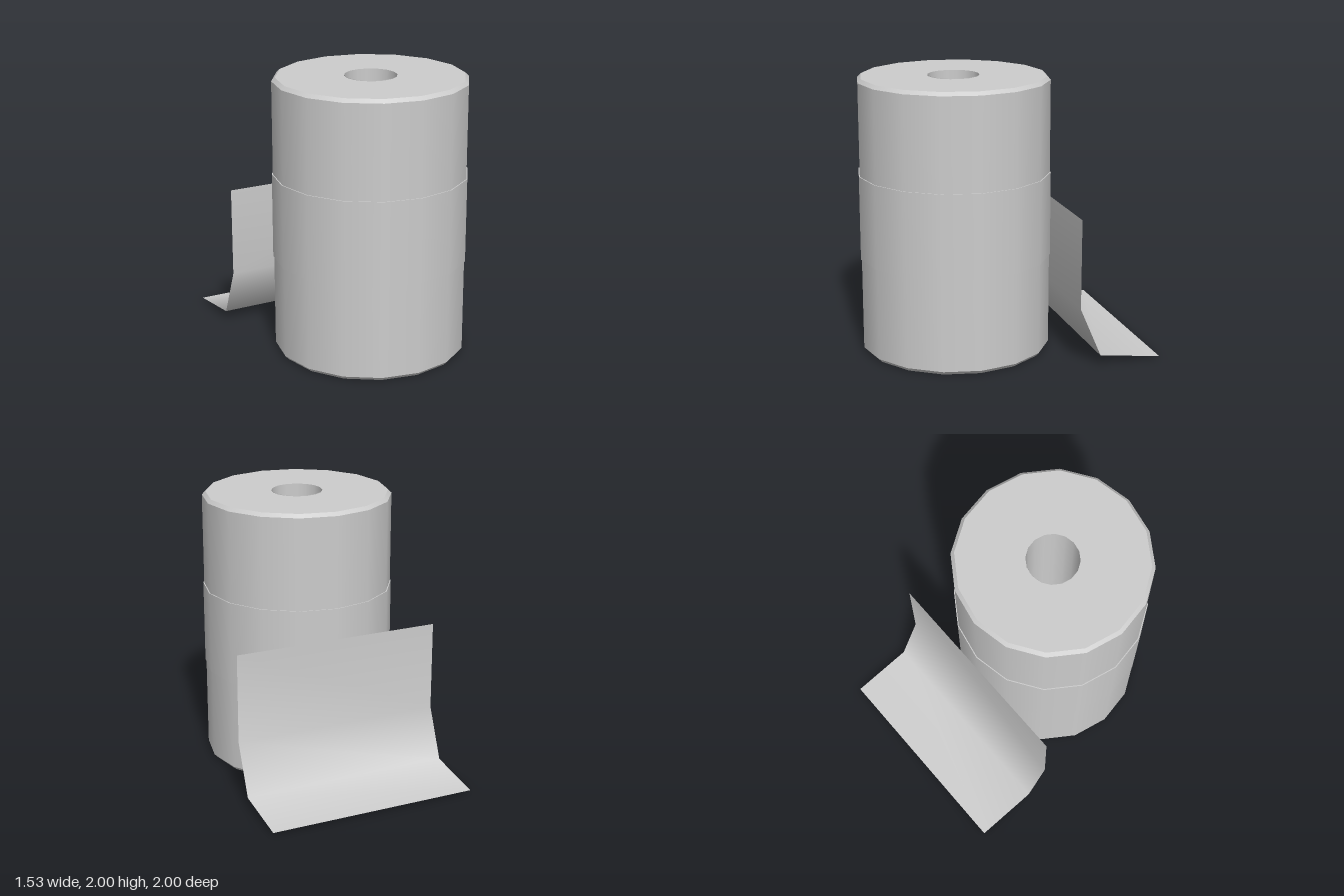
import * as THREE from 'three';
import { mergeGeometries } from 'three/addons/utils/BufferGeometryUtils.js';

const SIDES = 16;

// Revolve each profile segment on its own: smooth around, sharp between segments
function turned(profile) {
  const parts = [];
  for (let i = 0; i < profile.length - 1; i++) {
    const pair = [profile[i], profile[i + 1]].map(([r, y]) => new THREE.Vector2(r, y));
    parts.push(new THREE.LatheGeometry(pair, SIDES));
  }
  return mergeGeometries(parts);
}

export function createModel() {
  const model = new THREE.Group();
  model.name = 'paperRoll';

  const paper = new THREE.MeshStandardMaterial({ color: 0xcccccc, side: THREE.DoubleSide });
  paper.name = 'paper grey';

  const add = (name, geometry, z = 0) => {
    const mesh = new THREE.Mesh(geometry, paper);
    mesh.name = name;
    mesh.position.z = z;
    model.add(mesh);
  };

  const centreZ = 0.305;

  // Chamfered roll with a hole right through it
  add('roll', turned([
    [0.185, 0], [0.663, 0], [0.688, 0.027], [0.688, 1.972],
    [0.663, 1.997], [0.185, 1.997],
  ]), centreZ);

  // Inner core wall, barely proud of the top
  add('core', turned([[0.185, 2], [0.185, 0]]), centreZ);

  // Slightly raised band around the middle
  add('band', turned([
    [0.688, 0.695], [0.695, 0.695], [0.695, 1.305], [0.688, 1.305],
  ]), centreZ);

  // Loose sheet hanging behind the roll and curling away at the bottom
  const curl = [[1.08, -0.395], [0.43, -0.395], [0.07, -0.55], [0.015, -1]];
  const sheet = new THREE.PlaneGeometry(1.53, 1, 1, curl.length - 1);
  const pos = sheet.attributes.position;
  for (let i = 0; i < pos.count; i++) {
    const [y, z] = curl[Math.floor(i / 2)];
    pos.setXYZ(i, pos.getX(i), y, z);
  }
  sheet.computeVertexNormals();
  add('looseSheet', sheet);

  return model;
}
